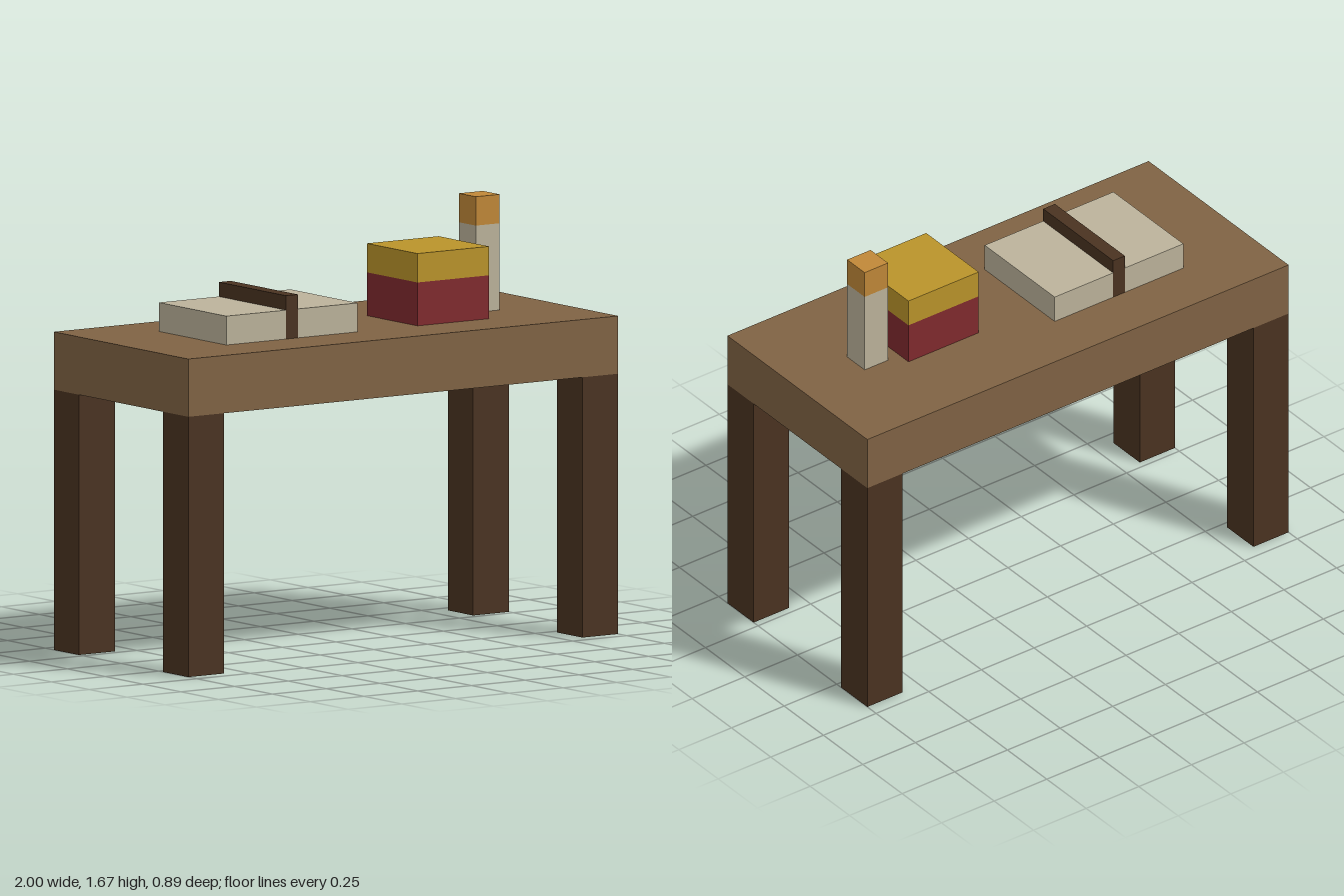
import * as THREE from 'three';

// All parts sit on a block grid of 1/18 unit
const U = 1 / 18;

const material = (name, color) => {
  const m = new THREE.MeshStandardMaterial({ color });
  m.name = name;
  return m;
};

// Box given by its minimum and maximum corners in grid blocks
function block(name, mat, [x0, y0, z0], [x1, y1, z1]) {
  const geometry = new THREE.BoxGeometry((x1 - x0) * U, (y1 - y0) * U, (z1 - z0) * U);
  const mesh = new THREE.Mesh(geometry, mat);
  mesh.name = name;
  mesh.position.set((x0 + x1) * U / 2, (y0 + y1) * U / 2, (z0 + z1) * U / 2);
  return mesh;
}

function group(name, ...parts) {
  const g = new THREE.Group();
  g.name = name;
  g.add(...parts);
  return g;
}

export function createModel() {
  const wood = material('wood', 0x806344);
  const darkWood = material('darkWood', 0x4a3321);
  const paper = material('paper', 0xbcb39b);
  const red = material('red', 0x802a2e);
  const gold = material('gold', 0xba942a);
  const orange = material('orange', 0xc08838);

  // Table: thick top on four square legs flush with the corners
  const table = group('table', block('tableTop', wood, [-18, 18, -8], [18, 22, 8]));
  for (const x of [-18, 15]) {
    for (const z of [-8, 5]) {
      table.add(block('tableLeg', darkWood, [x, 0, z], [x + 3, 18, z + 3]));
    }
  }

  // Open book: two page blocks either side of a raised spine
  const book = group('openBook',
    block('rightPages', paper, [-12, 22, -4], [-7, 24, 4]),
    block('bookSpine', darkWood, [-7, 22, -4], [-6, 25, 4]),
    block('leftPages', paper, [-6, 22, -4], [-1, 24, 4]));

  // Two-tone box
  const box = group('box',
    block('boxBase', red, [4, 22, -2], [10, 25, 4]),
    block('boxLid', gold, [4, 25, -2], [10, 27, 4]));

  // Candle with a glowing tip
  const candle = group('candle',
    block('candleStick', paper, [11, 22, -1], [13, 28, 1]),
    block('candleFlame', orange, [11, 28, -1], [13, 30, 1]));

  return group('writingTable', table, book, box, candle);
}
